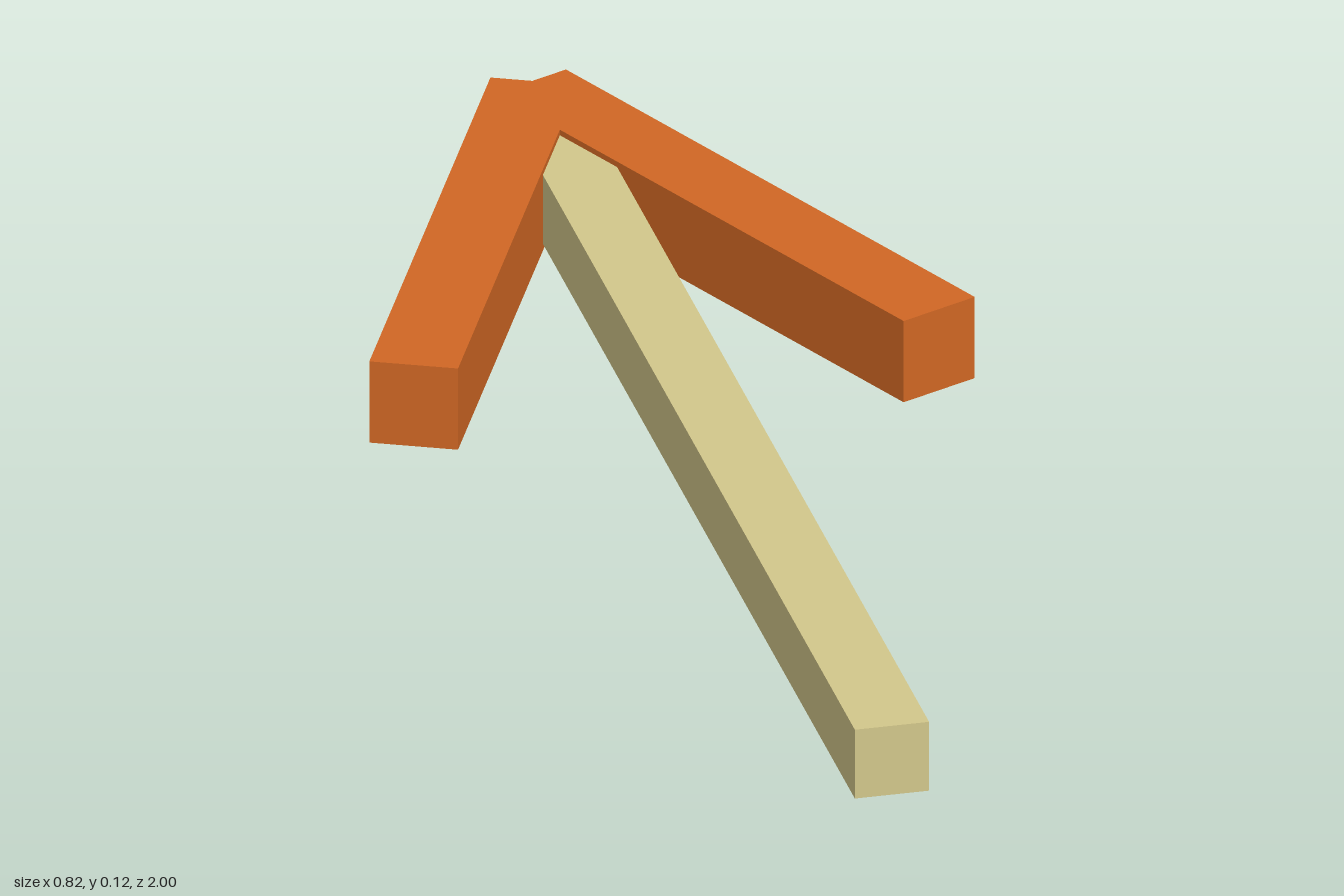
import * as THREE from 'three';

export function createModel() {
  const model = new THREE.Group();
  model.name = 'arrow';

  const orange = new THREE.MeshStandardMaterial({ name: 'orange', color: 0xd06724 });
  const paleWood = new THREE.MeshStandardMaterial({ name: 'paleWood', color: 0xd2c78b });

  const addBar = (name, material, size, position, turn = 0) => {
    const bar = new THREE.Mesh(new THREE.BoxGeometry(...size), material);
    bar.name = name;
    bar.position.set(...position);
    bar.rotation.y = turn;
    model.add(bar);
  };

  // Straight shaft, its far end buried in the head
  addBar('shaft', paleWood, [0.1, 0.1, 1.9], [0, 0.06, 0.05]);

  // Two mirrored bars crossing at the tip
  for (const side of [1, -1]) {
    addBar(side > 0 ? 'leftHeadBar' : 'rightHeadBar', orange,
      [0.118, 0.118, 0.868], [side * 0.1755, 0.059, -0.582], side * 0.4236);
  }

  return model;
}
